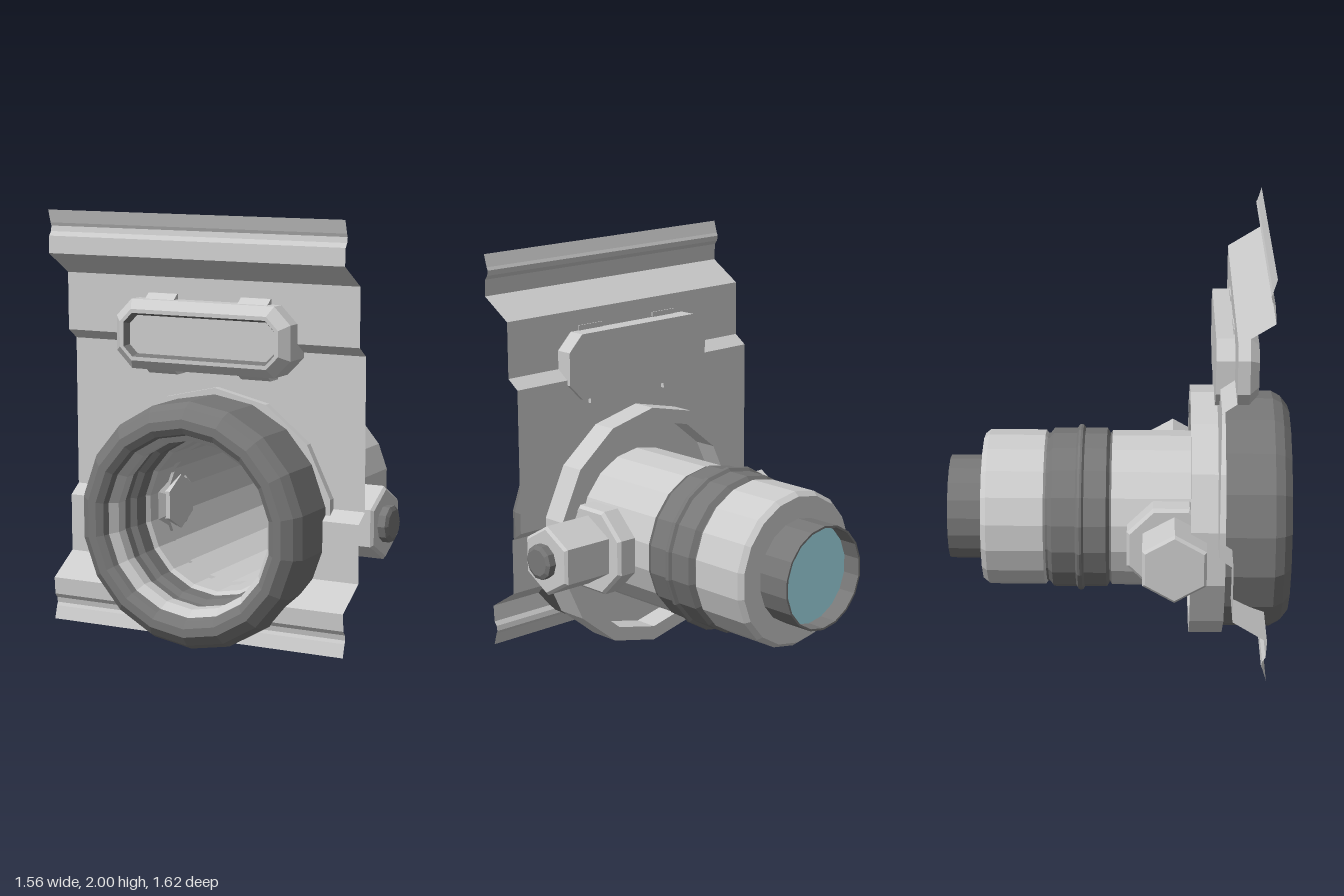
import * as THREE from 'three';

const mat = (color) => new THREE.MeshStandardMaterial({ color, flatShading: true, side: THREE.DoubleSide });

export function createModel() {
  const grey = mat(0xcccccc), dark = mat(0x777777), glass = mat(0xa8e4f0);
  const CX = -0.02, CY = 0.6;
  const model = new THREE.Group();

  function add(parent, name, geometry, material = grey) {
    const mesh = new THREE.Mesh(geometry, material);
    mesh.name = name;
    parent.add(mesh);
    return mesh;
  }

  // Surface of revolution about the z axis, from [radius, z] pairs
  function turned(points, sides = 18) {
    const g = new THREE.LatheGeometry(points.map(([r, z]) => new THREE.Vector2(r, z)), sides);
    return g.rotateX(Math.PI / 2);
  }

  // Pressed mounting sheet: mirrored profile swept along x, with a round opening
  function sheetGeometry() {
    const half = [[2, 0.69], [1.94, 0.672], [1.925, 0.665], [1.9, 0.67], [1.88, 0.685],
      [1.8, 0.69], [1.7, 0.53], [1.43, 0.53], [1.385, 0.465]];
    const profile = [...half, ...half.slice().reverse().map(([y, z]) => [2.07 - y, z])];
    const x0 = -0.78, x1 = 0.72, hole = 0.55, pos = [];
    const halfWidth = (y) => Math.sqrt(Math.max(0, hole * hole - (y - CY) ** 2));
    const quad = (a, b, c, d) => pos.push(...a, ...b, ...c, ...a, ...c, ...d);
    for (let i = 0; i < profile.length - 1; i++) {
      const [ya, za] = profile[i], [yb, zb] = profile[i + 1];
      const rows = Math.ceil((ya - yb) / 0.035);
      for (let k = 0; k < rows; k++) {
        const t = k / rows, u = (k + 1) / rows;
        const y = ya + (yb - ya) * t, z = za + (zb - za) * t;
        const v = ya + (yb - ya) * u, w = za + (zb - za) * u;
        const h = halfWidth(y), g = halfWidth(v);
        quad([x0, y, z], [x0, v, w], [CX - g, v, w], [CX - h, y, z]);
        quad([CX + h, y, z], [CX + g, v, w], [x1, v, w], [x1, y, z]);
      }
    }
    const geo = new THREE.BufferGeometry();
    geo.setAttribute('position', new THREE.Float32BufferAttribute(pos, 3));
    geo.computeVertexNormals();
    return geo;
  }
  add(model, 'mountingSheet', sheetGeometry());

  // Barrel assembly, turned about the z axis
  const barrel = new THREE.Group();
  barrel.name = 'barrelAssembly';
  barrel.position.set(CX, CY, 0);
  model.add(barrel);

  add(barrel, 'flange', turned([[0.37, 0.46], [0.53, 0.46], [0.53, 0.34], [0.6, 0.34], [0.6, 0.5], [0.56, 0.5]], 14));
  add(barrel, 'frontBezel', turned([[0.53, 0.48], [0.57, 0.5], [0.57, 0.73], [0.545, 0.775], [0.5, 0.81],
    [0.46, 0.81], [0.43, 0.79], [0.42, 0.76]]), dark);
  add(barrel, 'innerLip', turned([[0.42, 0.76], [0.39, 0.72], [0.39, 0.66]]));
  add(barrel, 'innerGroove', turned([[0.39, 0.66], [0.4, 0.65], [0.4, 0.6], [0.375, 0.58], [0.375, 0.5]]), dark);
  add(barrel, 'innerStep', turned([[0.375, 0.5], [0.36, 0.48], [0.36, 0.34]]));
  add(barrel, 'frontBarrel', turned([[0.375, -0.03], [0.375, 0.47]]));
  add(barrel, 'gripBand', turned([[0.36, -0.35], [0.36, -0.33], [0.385, -0.31], [0.385, -0.2], [0.4, -0.19],
    [0.403, -0.18], [0.4, -0.17], [0.385, -0.16], [0.385, -0.055], [0.36, -0.04], [0.375, -0.03]]), dark);
  add(barrel, 'rearBarrel', turned([[0.25, -0.645], [0.355, -0.645], [0.375, -0.62], [0.375, -0.35], [0.36, -0.34]]));
  add(barrel, 'barrelLining', turned([[0.345, 0.34], [0.345, -0.6], [0.29, -0.6]]));
  add(barrel, 'rearTube', turned([[0.29, -0.6], [0.25, -0.62], [0.25, -0.81], [0.24, -0.81], [0.24, -0.6]]), dark);
  add(barrel, 'lens', new THREE.CircleGeometry(0.245, 18, Math.PI / 2), glass).position.z = -0.72;

  // Side bosses; prism along x whose polygon is centred on (y, z) = (0, z)
  function prism(rOuter, rInner, a, b, sides, turn, z) {
    const g = new THREE.CylinderGeometry(rOuter, rInner, b - a, sides);
    return g.rotateY(turn).rotateZ(-Math.PI / 2).translate((a + b) / 2, 0, z);
  }
  for (const side of [1, -1]) {
    const boss = new THREE.Group();
    boss.name = side > 0 ? 'leftBoss' : 'rightBoss';
    boss.scale.x = side;
    barrel.add(boss);
    const R = 0.205 / Math.cos(Math.PI / 8);
    add(boss, 'bossBase', prism(R, R, 0.39, 0.475, 8, Math.PI / 8, 0.25));
    add(boss, 'bossEdge', prism(R - 0.015, R, 0.475, 0.49, 8, Math.PI / 8, 0.25));
    add(boss, 'bossNeck', prism(R, 0.11, 0.31, 0.39, 8, Math.PI / 8, 0.25));
    const end = side > 0 ? 0.755 : 0.7;
    add(boss, 'hexHead', prism(0.17, 0.17, 0.48, end - 0.012, 6, Math.PI / 2, 0.265));
    add(boss, 'hexHeadEdge', prism(0.155, 0.17, end - 0.012, end, 6, Math.PI / 2, 0.265));
    add(boss, 'innerNut', prism(0.13, 0.13, 0.31, 0.36, 6, Math.PI / 2, 0.265));
    if (side > 0) {
      add(boss, 'knob', prism(0.085, 0.085, end, 0.79, 10, 0, 0.275), dark);
      add(boss, 'knobCap', prism(0.065, 0.085, 0.79, 0.8, 10, 0, 0.275), dark);
    }
  }

  // Upper lamp housing: loft of chamfered rectangles, [halfWidth, halfHeight, corner, z]
  const lamp = new THREE.Group();
  lamp.name = 'lamp';
  lamp.position.set(-0.03, 1.44, 0);
  model.add(lamp);
  const outline = (w, h, c) => [[w, h - c], [w - c, h], [c - w, h], [-w, h - c],
    [-w, c - h], [c - w, -h], [w - c, -h], [w, c - h]];
  function loft(sections) {
    const pos = [];
    const rings = sections.map(([w, h, c, z]) => outline(w, h, c).map(([x, y]) => [x, y, z]));
    for (let s = 0; s < rings.length - 1; s++) {
      for (let i = 0; i < 8; i++) {
        const j = (i + 1) % 8, A = rings[s], B = rings[s + 1];
        pos.push(...A[i], ...A[j], ...B[j], ...A[i], ...B[j], ...B[i]);
      }
    }
    const geo = new THREE.BufferGeometry();
    geo.setAttribute('position', new THREE.Float32BufferAttribute(pos, 3));
    geo.computeVertexNormals();
    return geo;
  }
  const face = (w, h, c, z) => new THREE.ShapeGeometry(
    new THREE.Shape(outline(w, h, c).map(([x, y]) => new THREE.Vector2(x, y)))).translate(0, 0, z);
  add(lamp, 'lampHousing', loft([[0.445, 0.16, 0.08, 0.445], [0.445, 0.16, 0.08, 0.6], [0.405, 0.118, 0.06, 0.642],
    [0.385, 0.1, 0.045, 0.642]]));
  add(lamp, 'lampRecess', loft([[0.385, 0.1, 0.045, 0.642], [0.37, 0.088, 0.04, 0.61]]), dark);
  add(lamp, 'lampWindow', face(0.37, 0.088, 0.04, 0.61));
  add(lamp, 'lampBack', face(0.445, 0.16, 0.08, 0.445)).rotation.set(0, 0, 0);

  // Wedge clips above and below the lamp, drawn in (z, y) and extruded along x
  function clip(back, name, sign, x) {
    const s = new THREE.Shape([[back, 0.14], [0.575, 0.14], [0.575, 0.155], [0.535, 0.185], [back, 0.185]]
      .map(([z, y]) => new THREE.Vector2(-z, y * sign)));
    const g = new THREE.ExtrudeGeometry(s, { depth: 0.15, bevelEnabled: false });
    add(lamp, name, g.rotateY(Math.PI / 2).translate(x - 0.075, 0, 0));
  }
  for (const x of [-0.237, 0.24]) {
    clip(0.525, 'upperClip', 1, x);
    clip(0.445, 'lowerClip', -1, x);
  }
  return model;
}
